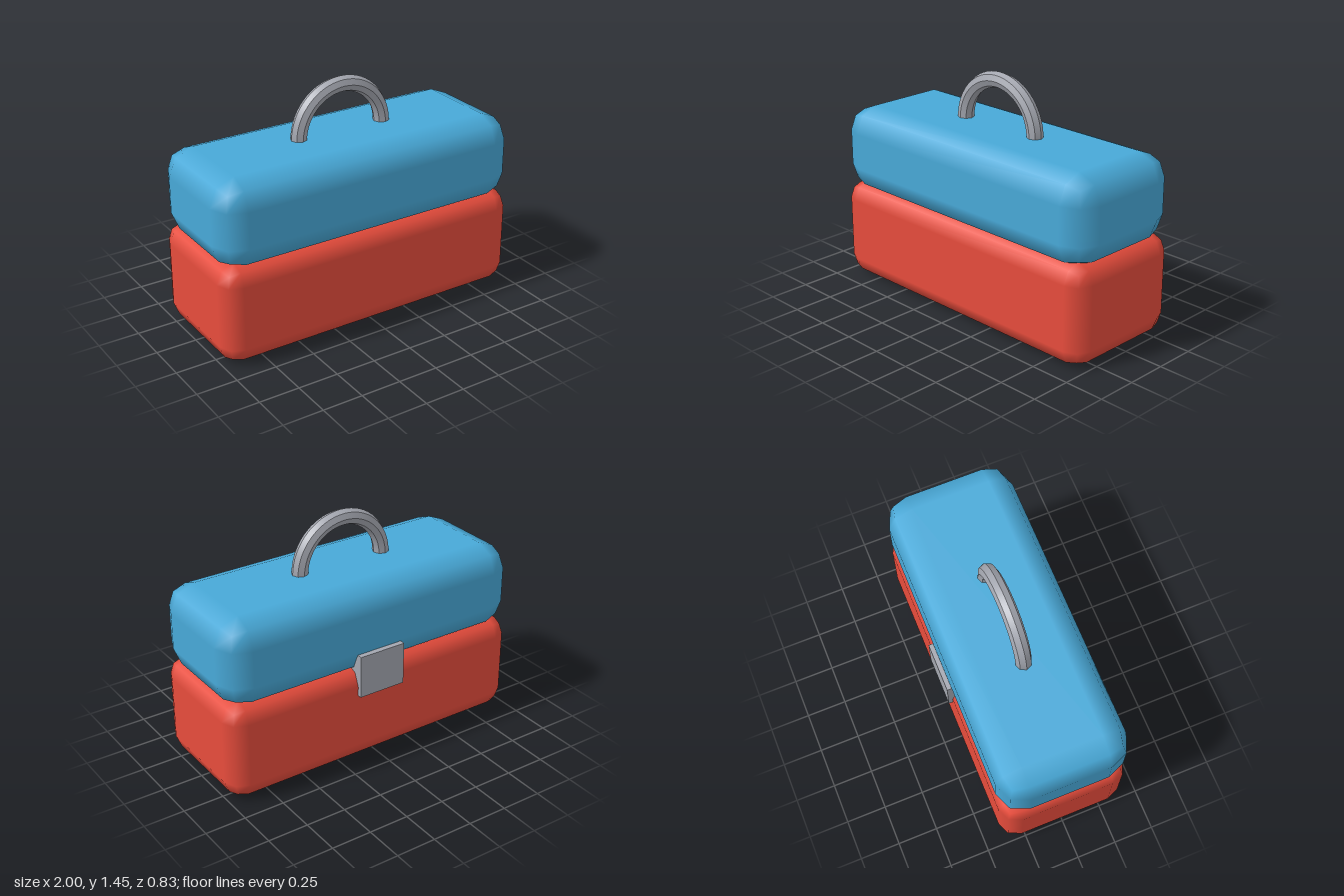
import * as THREE from 'three';
import { RoundedBoxGeometry } from 'three/addons/geometries/RoundedBoxGeometry.js';
import { toCreasedNormals } from 'three/addons/utils/BufferGeometryUtils.js';

export function createModel() {
  const red = new THREE.MeshStandardMaterial({ name: 'red paint', color: 0xe74c3c });
  const blue = new THREE.MeshStandardMaterial({ name: 'blue paint', color: 0x48a9d8 });
  const grey = new THREE.MeshStandardMaterial({ name: 'grey metal', color: 0xa4a7b0 });

  const model = new THREE.Group();
  model.name = 'toolbox';
  const midZ = 0.013; // the box sits slightly forward to balance the latch

  function add(name, geometry, material, x, y, z) {
    const mesh = new THREE.Mesh(geometry, material);
    mesh.name = name;
    mesh.position.set(x, y, z);
    model.add(mesh);
    return mesh;
  }

  // Bevelled box with two facets per edge, from y0 to y1
  function shell(name, y0, y1, radius, material) {
    const geometry = new RoundedBoxGeometry(2, y1 - y0, 0.8, 1, radius);
    add(name, geometry, material, 0, (y0 + y1) / 2, midZ);
  }
  shell('base', 0, 0.62, 0.112, red);
  shell('lid', 0.575, 1.113, 0.157, blue);

  // Carrying handle: octagonal tube bent in a half ring, ends sunk in the lid
  const sink = 0.1;
  const arch = new THREE.TorusGeometry(0.286, 0.049, 8, 32, Math.PI + 2 * sink);
  arch.rotateZ(-sink);
  add('handle', toCreasedNormals(arch, 0.5), grey, 0, 1.11, midZ);

  // Latch plate bridging lid and base at the back
  add('latch', new THREE.BoxGeometry(0.306, 0.265, 0.1), grey, 0, 0.582, -0.364);

  return model;
}
